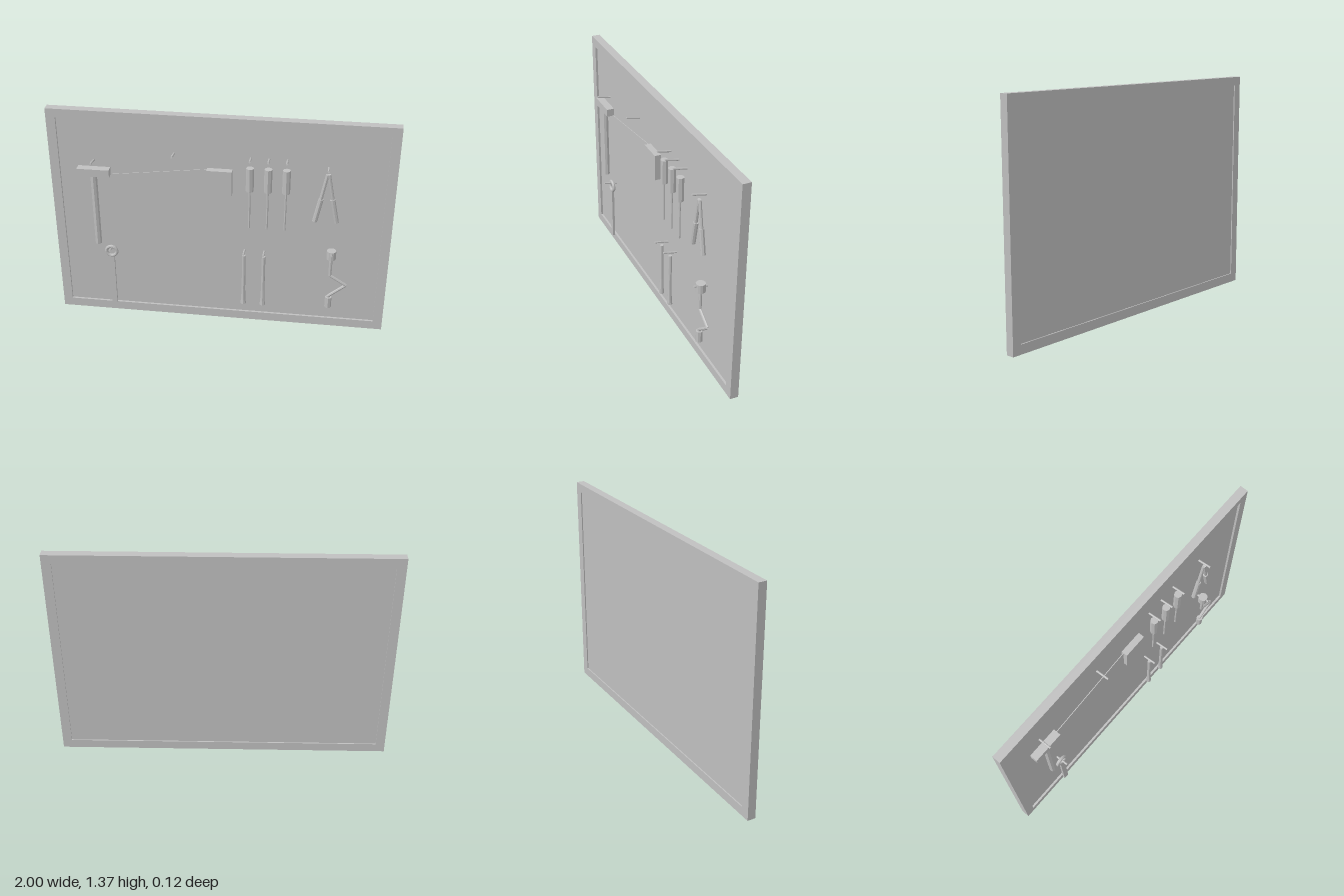
import * as THREE from 'three';

export function createModel() {
  const root = new THREE.Group();
  root.name = 'toolBoard';
  const gray = new THREE.MeshStandardMaterial({ color: 0xbfbfbf, flatShading: true });
  gray.name = 'gray';

  const add = (name, geometry, x = 0, y = 0, z = 0, parent = root) => {
    const mesh = new THREE.Mesh(geometry, gray);
    mesh.name = name;
    mesh.position.set(x, y, z);
    parent.add(mesh);
    return mesh;
  };
  const tool = (name) => {
    const g = new THREE.Group();
    g.name = name;
    root.add(g);
    return g;
  };
  // Rod between two points, r0 at the start and r1 at the end
  const rod = (name, a, b, r0, r1 = r0, parent = root, sides = 8) => {
    const p = new THREE.Vector3(...a), q = new THREE.Vector3(...b);
    const d = q.clone().sub(p);
    const mesh = add(name, new THREE.CylinderGeometry(r1, r0, d.length(), sides), 0, 0, 0, parent);
    mesh.position.copy(p).add(q).multiplyScalar(0.5);
    mesh.quaternion.setFromUnitVectors(new THREE.Vector3(0, 1, 0), d.normalize());
    return mesh;
  };
  const rect = (shape, x, y0, y1) =>
    shape.moveTo(-x, y0).lineTo(x, y0).lineTo(x, y1).lineTo(-x, y1).closePath();

  // Board: raised frame around a recessed panel
  const frame = rect(new THREE.Shape(), 1, 0, 1.366);
  frame.holes.push(rect(new THREE.Path(), 0.945, 0.056, 1.312));
  add('frame', new THREE.ExtrudeGeometry(frame, { depth: 0.05, bevelEnabled: false }), 0, 0, -0.06);
  add('panel', new THREE.BoxGeometry(1.89, 1.256, 0.03), 0, 0.684, -0.038);

  // Pegs, tilted up towards the front
  const pegs = [
    [-0.738, 1.06], [-0.267, 1.132], [0.174, 1.132], [0.278, 1.132], [0.382, 1.132],
    [0.615, 1.102], [0.147, 0.513], [0.265, 0.513], [-0.663, 0.473], [0.663, 0.548],
  ];
  for (const [x, y] of pegs) rod('peg', [x, y - 0.009, -0.025], [x, y + 0.008, 0.06], 0.006);

  // Hammer
  const hammer = tool('hammer');
  add('hammerHead', new THREE.BoxGeometry(0.19, 0.047, 0.046), -0.736, 0.994, 0.015, hammer);
  rod('hammerHandle', [-0.737, 0.508, 0.016], [-0.737, 0.975, 0.016], 0.02, 0.02, hammer);

  // Saw with a toothed lower edge
  const saw = tool('saw');
  const blade = new THREE.Shape();
  blade.moveTo(-0.06, 0.89).lineTo(-0.06, 1.05).lineTo(-0.634, 0.978).lineTo(-0.634, 0.862);
  const teeth = 16;
  for (let i = 0; i < teeth; i++) {
    const x = -0.634 + (0.574 * i) / teeth, y = 0.862 + (0.028 * i) / teeth;
    blade.lineTo(x + 0.01, y - 0.008).lineTo(x + 0.032, y + 0.003);
  }
  add('sawBlade', new THREE.ExtrudeGeometry(blade, { depth: 0.004, bevelEnabled: false }), 0, 0, 0, saw);
  add('sawHandle', new THREE.BoxGeometry(0.146, 0.158, 0.038), -0.002, 0.972, 0.009, saw);

  // Screwdrivers
  for (const x of [0.174, 0.278, 0.382]) {
    const g = tool('screwdriver');
    rod('screwdriverHandle', [x, 0.933, 0.017], [x, 1.08, 0.017], 0.023, 0.023, g);
    rod('screwdriverShaft', [x, 0.687, 0.017], [x, 0.94, 0.017], 0.006, 0.006, g);
  }

  // Pliers: two mirrored legs with thicker grips
  const pliers = tool('pliers');
  for (const s of [-1, 1]) {
    const x = (d) => 0.615 + s * d;
    rod('pliersArm', [x(0.036), 0.9, 0.017], [x(0.004), 1.07, 0.017], 0.01, 0.01, pliers);
    rod('pliersGrip', [x(0.062), 0.762, 0.017], [x(0.033), 0.91, 0.017], 0.015, 0.015, pliers);
  }

  // Chisels
  for (const x of [0.147, 0.265]) {
    const g = tool('chisel');
    rod('chiselHandle', [x, 0.25, 0.017], [x, 0.49, 0.017], 0.011, 0.011, g);
    rod('chiselNeck', [x, 0.17, 0.017], [x, 0.25, 0.017], 0.014, 0.011, g);
    rod('chiselTip', [x, 0.142, 0.017], [x, 0.172, 0.017], 0.017, 0.014, g);
  }

  // Ring wrench
  const wrench = tool('wrench');
  add('wrenchRing', new THREE.TorusGeometry(0.032, 0.01, 8, 24), -0.663, 0.449, 0.01, wrench);
  add('wrenchHandle', new THREE.BoxGeometry(0.032, 0.345, 0.015), -0.663, 0.242, 0.011, wrench);

  // Hand brace with a cranked bar
  const brace = tool('handBrace');
  rod('braceKnob', [0.663, 0.513, 0.018], [0.663, 0.567, 0.018], 0.028, 0.028, brace, 12);
  const bend = [[0.663, 0.52], [0.663, 0.392], [0.762, 0.33], [0.663, 0.245], [0.663, 0.225]];
  for (let i = 0; i < bend.length - 1; i++) {
    rod('braceBar', [...bend[i], 0.018], [...bend[i + 1], 0.018], 0.0095, 0.0095, brace);
  }
  rod('braceChuck', [0.663, 0.164, 0.018], [0.663, 0.236, 0.018], 0.02, 0.02, brace);

  return root;
}
